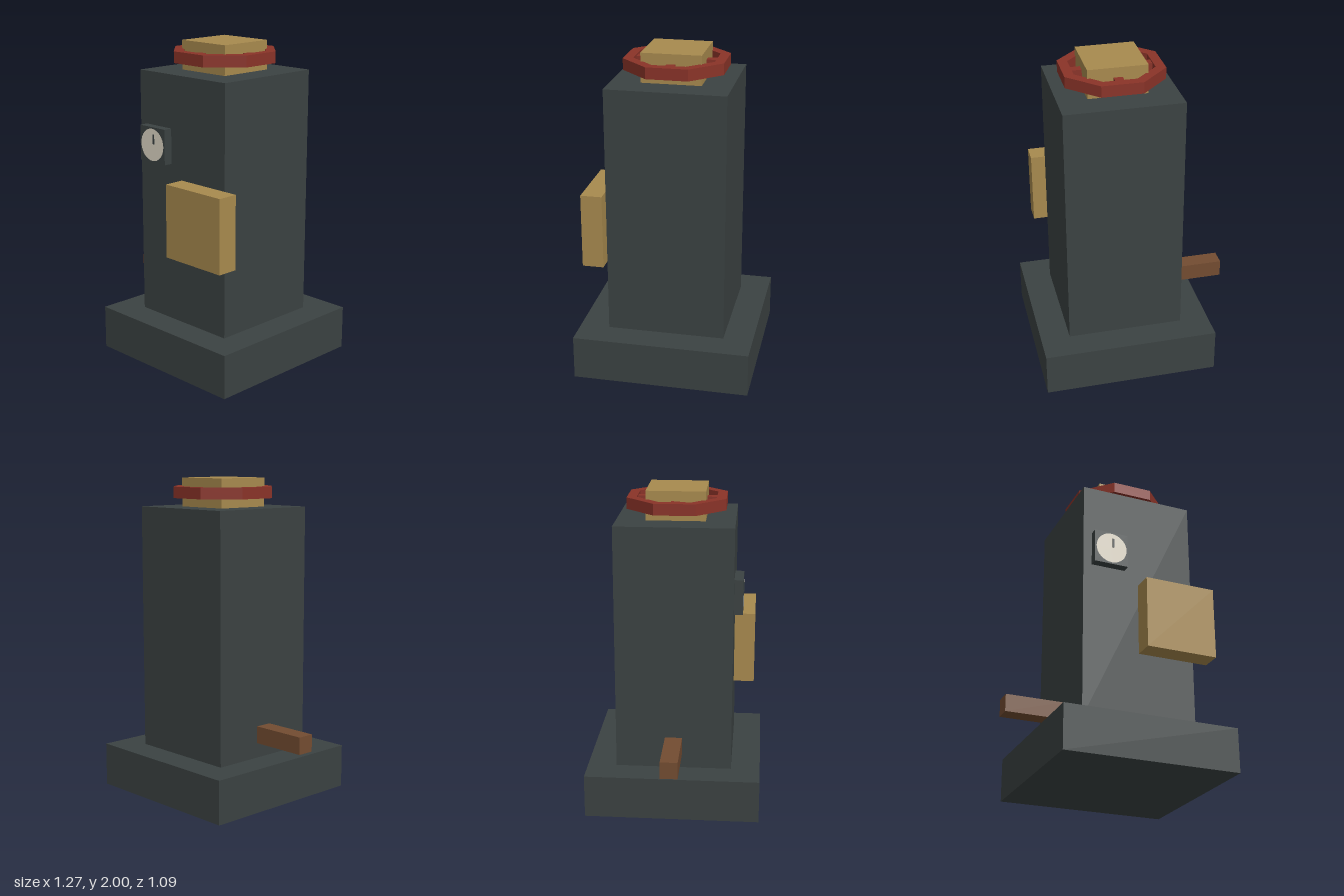
import * as THREE from 'three';

const material = (name, color) => {
  const m = new THREE.MeshStandardMaterial({ color });
  m.name = name;
  return m;
};

export function createModel() {
  const model = new THREE.Group();
  const iron = material('dark iron', 0x3b4242);
  const brass = material('brass', 0xa88a4e);
  const red = material('red paint', 0x8a3328);
  const copper = material('copper brown', 0x734c31);
  const ivory = material('ivory', 0xe0d9c8);

  const add = (name, geometry, mat, parent = model) => {
    const mesh = new THREE.Mesh(geometry, mat);
    mesh.name = name;
    parent.add(mesh);
    return mesh;
  };
  // Box given by its lower and upper corners
  const box = (name, mat, [x0, y0, z0], [x1, y1, z1], parent) => {
    const mesh = add(name, new THREE.BoxGeometry(x1 - x0, y1 - y0, z1 - z0), mat, parent);
    mesh.position.set((x0 + x1) / 2, (y0 + y1) / 2, (z0 + z1) / 2);
    return mesh;
  };

  // Body
  box('base', iron, [-0.455, 0, -0.545], [0.635, 0.273, 0.545]);
  box('column', iron, [-0.273, 0.273, -0.363], [0.453, 1.82, 0.363]);
  box('topCap', brass, [-0.091, 1.82, -0.182], [0.272, 2, 0.182]);
  box('sidePipe', copper, [-0.635, 0.367, -0.054], [-0.273, 0.475, 0.054]);
  box('frontPanel', brass, [0.09, 0.73, 0.363], [0.543, 1.187, 0.493]);

  // Octagonal handwheel with four spokes
  const wheel = new THREE.Group();
  wheel.name = 'handwheel';
  wheel.position.set(0.09, 1.877, 0);
  model.add(wheel);
  const octagon = (apothem) => Array.from({ length: 8 }, (_, i) => {
    const a = (i + 0.5) * Math.PI / 4;
    const r = apothem / Math.cos(Math.PI / 8);
    return new THREE.Vector2(r * Math.cos(a), r * Math.sin(a));
  });
  const rimShape = new THREE.Shape(octagon(0.303));
  rimShape.holes.push(new THREE.Path(octagon(0.244)));
  const rimGeometry = new THREE.ExtrudeGeometry(rimShape, { depth: 0.07, bevelEnabled: false });
  rimGeometry.rotateX(-Math.PI / 2);
  add('rim', rimGeometry, red, wheel);
  for (let i = 0; i < 4; i++) {
    const geometry = new THREE.BoxGeometry(0.11, 0.054, 0.054);
    geometry.translate(0.21, 0.035, 0).rotateY(i * Math.PI / 2);
    add('spoke', geometry, red, wheel);
  }

  // Pressure gauge: housing, dial and needle
  const gauge = new THREE.Group();
  gauge.name = 'gauge';
  model.add(gauge);
  box('gaugeHousing', iron, [-0.218, 1.275, 0.363], [0, 1.493, 0.418], gauge);
  const dial = add('dial', new THREE.CircleGeometry(0.1, 32), ivory, gauge);
  dial.position.set(-0.109, 1.384, 0.42);
  box('needle', iron, [-0.103, 1.39, 0.418], [-0.09, 1.45, 0.423], gauge);

  return model;
}
